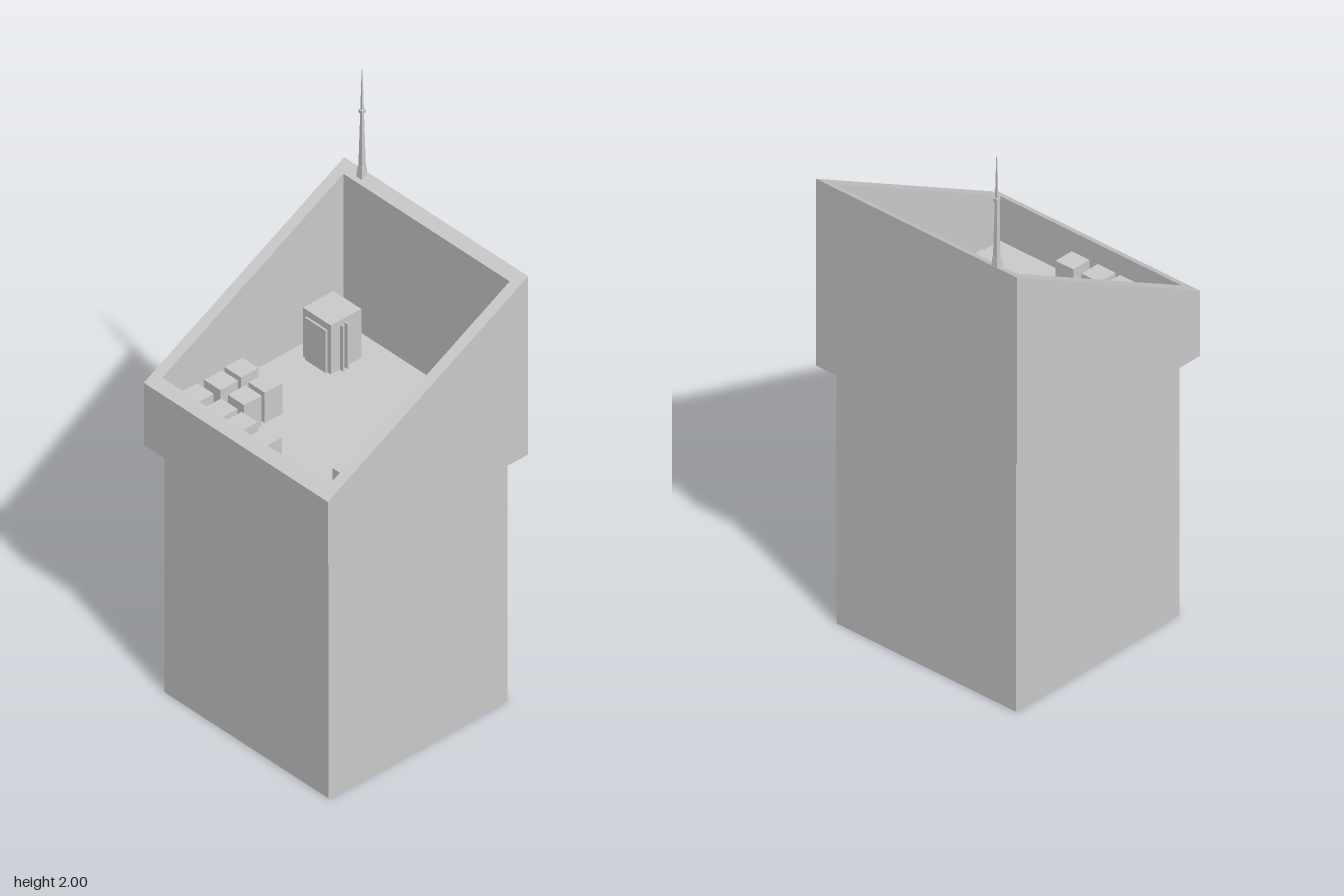
import * as THREE from 'three';

const FLOOR = 1.03; // floor level inside the tray
const HEAD = 0.935; // underside of the tray

export function createModel() {
  const model = new THREE.Group();
  const material = new THREE.MeshStandardMaterial({ color: 0xcccccc, flatShading: true });

  const add = (name, geometry, parent = model) => {
    const mesh = new THREE.Mesh(geometry, material);
    mesh.name = name;
    parent.add(mesh);
    return mesh;
  };
  // Box given by its centre in plan, its size and its bottom and top heights
  const block = (name, x, z, w, d, y0, y1, parent) =>
    add(name, new THREE.BoxGeometry(w, y1 - y0, d).translate(x, (y0 + y1) / 2, z), parent);
  // Square tapering piece, w0 wide at the bottom and w1 at the top
  const taper = (name, w0, w1, y0, y1, parent) =>
    add(name, new THREE.CylinderGeometry(w1 * Math.SQRT1_2, w0 * Math.SQRT1_2, y1 - y0, 4)
      .rotateY(Math.PI / 4).translate(0, (y0 + y1) / 2, 0), parent);

  // Pedestal
  block('pedestal', 0, 0, 0.738, 0.738, 0, HEAD);

  // Tray walls: a square ring whose top is cut on a slope
  const square = (r, Type) => new Type([[-r, -r], [r, -r], [r, r], [-r, r]].map(p => new THREE.Vector2(...p)));
  const outline = square(0.414, THREE.Shape);
  outline.holes.push(square(0.374, THREE.Path));
  const walls = new THREE.ExtrudeGeometry(outline, { depth: 1, bevelEnabled: false }).rotateX(-Math.PI / 2);
  const pos = walls.attributes.position;
  for (let i = 0; i < pos.count; i++) {
    const top = THREE.MathUtils.mapLinear(pos.getZ(i), 0.414, -0.414, 1.17, 1.61);
    pos.setY(i, pos.getY(i) > 0.5 ? top : HEAD);
  }
  walls.computeVertexNormals();
  add('trayWalls', walls);
  block('trayFloor', 0, 0, 0.748, 0.748, HEAD, FLOOR);

  // Large building with a door panel and two side fins
  const building = new THREE.Group();
  building.name = 'building';
  model.add(building);
  block('buildingBody', -0.262, -0.225, 0.125, 0.126, FLOOR, 1.215, building);
  block('buildingDoor', -0.262, -0.159, 0.094, 0.008, FLOOR, 1.19, building);
  for (const z of [-0.221, -0.202]) block('sideFin', -0.193, z, 0.016, 0.006, FLOOR, 1.2, building);

  // Small cubes in the front corner
  const cubes = [[-0.295, 0.119], [-0.189, 0.118], [-0.289, 0.209], [-0.184, 0.208],
    [-0.29, 0.309], [-0.184, 0.308], [-0.092, 0.308], [0.015, 0.308]];
  for (const [x, z] of cubes) block('smallCube', x, z, 0.073, 0.073, FLOOR, 1.145);

  // Low blocks along the side
  block('lowBlock', 0.263, -0.004, 0.084, 0.134, FLOOR, 1.1);
  block('lowBlock', 0.267, 0.156, 0.083, 0.132, FLOOR, 1.1);

  // Stepped towers with a collar and a spire
  for (const [x, z, h] of [[0.32, -0.32, 0.425], [0.318, -0.235, 0.295]]) {
    const tower = new THREE.Group();
    tower.name = 'tower';
    tower.position.set(x, FLOOR, z);
    model.add(tower);
    taper('towerPlate', 0.073, 0.073, 0, h * 0.12, tower);
    taper('towerBase', 0.05, 0.05, h * 0.12, h * 0.3, tower);
    taper('towerShaft', 0.036, 0.019, h * 0.3, h * 0.62, tower);
    taper('towerCollar', 0.037, 0.037, h * 0.6, h * 0.63, tower);
    taper('towerSpire', 0.016, 0.003, h * 0.62, h, tower);
  }

  // Antenna on the back rim
  const antenna = new THREE.Group();
  antenna.name = 'antenna';
  antenna.position.set(-0.318, 0, -0.4);
  model.add(antenna);
  taper('antennaFoot', 0.026, 0.018, 1.59, 1.64, antenna);
  taper('antennaMast', 0.016, 0.008, 1.64, 1.845, antenna);
  taper('antennaCollar', 0.016, 0.016, 1.838, 1.85, antenna);
  taper('antennaSpire', 0.008, 0.002, 1.845, 2, antenna);

  return model;
}
